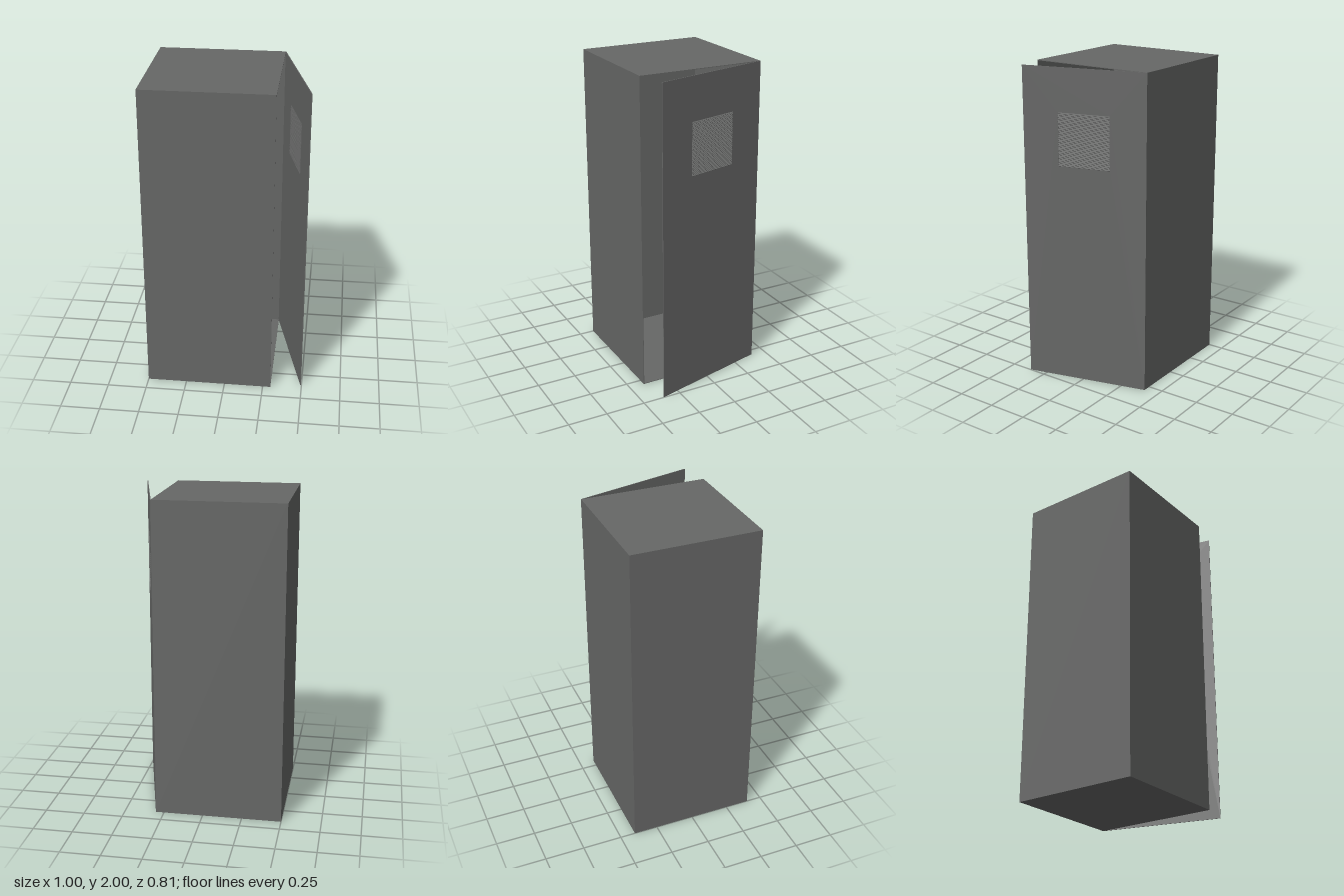
import * as THREE from 'three';

export function createModel() {
  const group = new THREE.Group();
  group.name = 'locker';
  const steel = new THREE.MeshStandardMaterial({ color: 0x666766 });
  steel.name = 'grey steel';

  function box(parent, name, w, h, d, x, y, z) {
    const mesh = new THREE.Mesh(new THREE.BoxGeometry(w, h, d), steel);
    mesh.name = name;
    mesh.position.set(x, y, z);
    parent.add(mesh);
    return mesh;
  }

  // Thin sheet cabinet, open on its +x side
  const W = 0.8, D = 0.806, H = 2, T = 0.004, cx = -0.1;
  const cabinet = new THREE.Group();
  cabinet.name = 'cabinet';
  group.add(cabinet);
  box(cabinet, 'farWall', T, H, D, cx - W / 2 + T / 2, H / 2, 0);
  for (const s of [1, -1]) {
    box(cabinet, s > 0 ? 'frontWall' : 'backWall', W - T, H, T,
      cx + T / 2, H / 2, s * (D - T) / 2);
    box(cabinet, s > 0 ? 'roof' : 'floor', W - T, T, D - 2 * T,
      cx + T / 2, s > 0 ? H - T / 2 : T / 2, 0);
  }

  // Door hung on the back corner, with a rectangular vent opening
  const door = new THREE.Group();
  door.name = 'door';
  door.position.set(0.3, 0, -0.403);
  door.rotation.y = -Math.PI / 2 + Math.atan2(0.195, 0.763);
  group.add(door);

  const length = 0.788, thick = 0.005;
  const v = { x0: 0.23, x1: 0.56, y0: 1.4, y1: 1.73 };
  const outline = new THREE.Shape();
  outline.moveTo(0, 0).lineTo(length, 0).lineTo(length, H).lineTo(0, H).closePath();
  const hole = new THREE.Path();
  hole.moveTo(v.x0, v.y0).lineTo(v.x0, v.y1).lineTo(v.x1, v.y1).lineTo(v.x1, v.y0).closePath();
  outline.holes.push(hole);
  const panelGeometry = new THREE.ExtrudeGeometry(outline, { depth: thick, bevelEnabled: false });
  panelGeometry.translate(0, 0, -thick / 2);
  const panel = new THREE.Mesh(panelGeometry, steel);
  panel.name = 'doorPanel';
  door.add(panel);

  // Louvres sloping down towards the outside
  const count = 40, pitch = (v.y1 - v.y0) / count;
  for (let i = 0; i < count; i++) {
    const slat = box(door, 'ventSlat', v.x1 - v.x0, 0.002, 0.012,
      (v.x0 + v.x1) / 2, v.y0 + (i + 0.5) * pitch, 0);
    slat.rotation.x = -Math.PI / 6;
  }
  return group;
}
